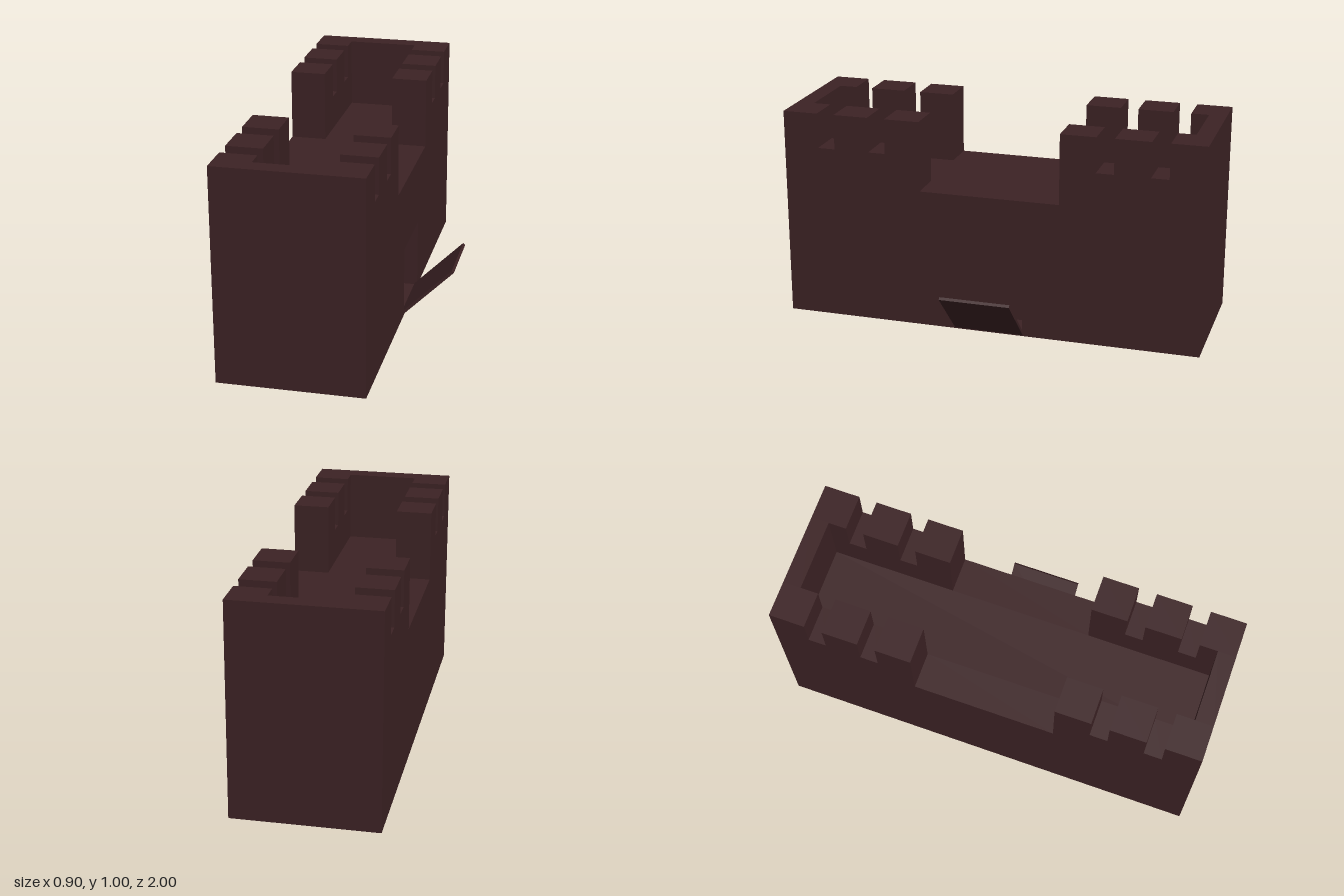
import * as THREE from 'three';

const stone = new THREE.MeshStandardMaterial({ color: 0x3c2224 });
stone.name = 'dark stone';

const U = 1 / 12;            // building module
const RIGHT = 0.216;         // outer face of the gate wall
const LEFT = RIGHT - 8 * U;  // outer face of the rear wall
const WALL = 2 * U;

// Half of the battlement outline, from the outer end towards the middle
const HALF = [[12, 12], [10, 12], [10, 10], [9, 10], [9, 12], [7, 12], [7, 10],
  [6, 10], [6, 12], [4, 12], [4, 8]];

function addMesh(group, name, geometry, x = 0, y = 0, z = 0) {
  const mesh = new THREE.Mesh(geometry, stone);
  mesh.name = name;
  mesh.position.set(x, y, z);
  group.add(mesh);
  return mesh;
}

// Crenellated long wall, extruded towards -x, with an optional gate opening
function longWall(withGate) {
  const top = [...HALF, ...HALF.map(([z, y]) => [-z, y]).reverse()];
  const outline = [[-12, 0], [12, 0], ...top];
  const shape = new THREE.Shape(outline.map(([z, y]) => new THREE.Vector2(z * U, y * U)));
  if (withGate) {
    const hole = [[-0.163, 0.006], [-0.163, 0.338], [0.174, 0.338], [0.174, 0.006]];
    shape.holes.push(new THREE.Path(hole.map(([z, y]) => new THREE.Vector2(z, y))));
  }
  const geometry = new THREE.ExtrudeGeometry(shape, { depth: WALL, bevelEnabled: false });
  return geometry.rotateY(-Math.PI / 2);
}

export function createModel() {
  const group = new THREE.Group();
  group.name = 'fortress';
  const midX = (LEFT + RIGHT) / 2;

  // Long walls
  addMesh(group, 'gateWall', longWall(true), RIGHT);
  addMesh(group, 'rearWall', longWall(false), LEFT + WALL);

  // Solid core whose top is the courtyard floor
  addMesh(group, 'core', new THREE.BoxGeometry(4 * U, 8 * U, 22 * U), midX, 4 * U, 0);

  // End walls closing the two towers
  for (const s of [-1, 1]) {
    addMesh(group, s > 0 ? 'frontEndWall' : 'backEndWall',
      new THREE.BoxGeometry(4 * U, 12 * U, U), midX, 6 * U, s * 11.5 * U);
  }

  // Half-lowered drawbridge, hinged at the foot of the gate
  const bridge = addMesh(group, 'drawbridge',
    new THREE.BoxGeometry(4 * U, 0.014, 4 * U), 0.326, 0.124, 0);
  bridge.rotation.z = Math.PI / 4;

  return group;
}
